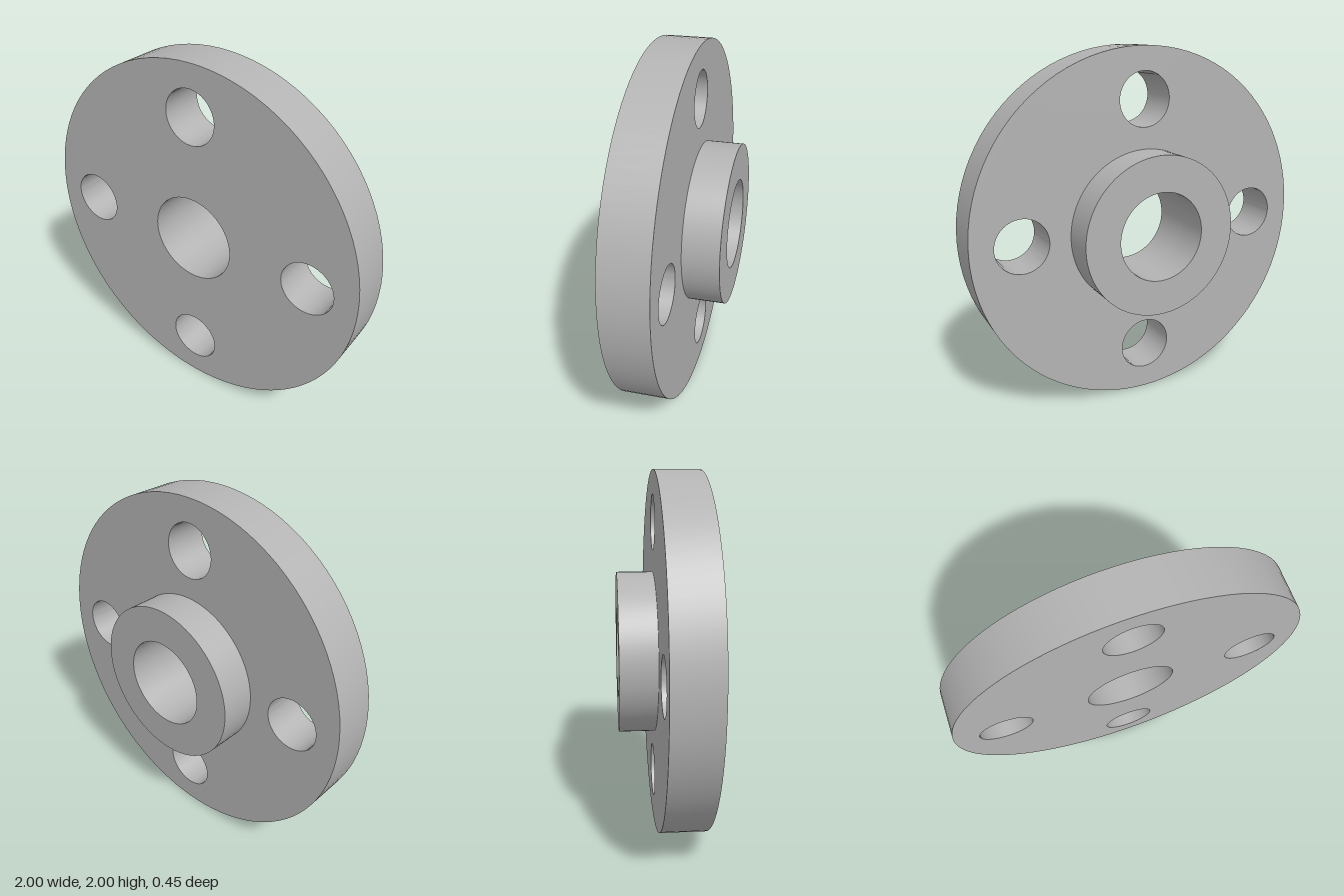
import * as THREE from 'three';
import { toCreasedNormals } from 'three/addons/utils/BufferGeometryUtils.js';

const BORE_RADIUS = 0.25;

// Round plate with circular through-holes given as [x, y, radius]
function drilledDisc(radius, depth, holes) {
  const shape = new THREE.Shape().absarc(0, 0, radius, 0, Math.PI * 2, false);
  for (const [x, y, r] of holes) {
    shape.holes.push(new THREE.Path().absarc(x, y, r, 0, Math.PI * 2, true));
  }
  const geometry = new THREE.ExtrudeGeometry(shape, { depth, bevelEnabled: false, curveSegments: 48 });
  return toCreasedNormals(geometry, Math.PI / 6);
}

export function createModel() {
  const group = new THREE.Group();
  group.name = 'pipeFlange';
  const steel = new THREE.MeshStandardMaterial({ color: 0xb3b3b3 });
  steel.name = 'grey steel';

  const addPart = (name, geometry, z) => {
    const mesh = new THREE.Mesh(geometry, steel);
    mesh.name = name;
    mesh.position.set(0, 1, z);
    group.add(mesh);
  };

  // Flange plate: central bore and four bolt holes on a circle
  const bore = [0, 0, BORE_RADIUS];
  const boltHoles = [0, 1, 2, 3].map((i) => {
    const a = (i * Math.PI) / 2;
    return [0.72 * Math.cos(a), 0.72 * Math.sin(a), 0.15];
  });
  addPart('flangePlate', drilledDisc(1, 0.25, [bore, ...boltHoles]), -0.025);

  // Raised hub on the back, continuing the bore
  addPart('hub', drilledDisc(0.45, 0.2, [bore]), -0.225);

  return group;
}
